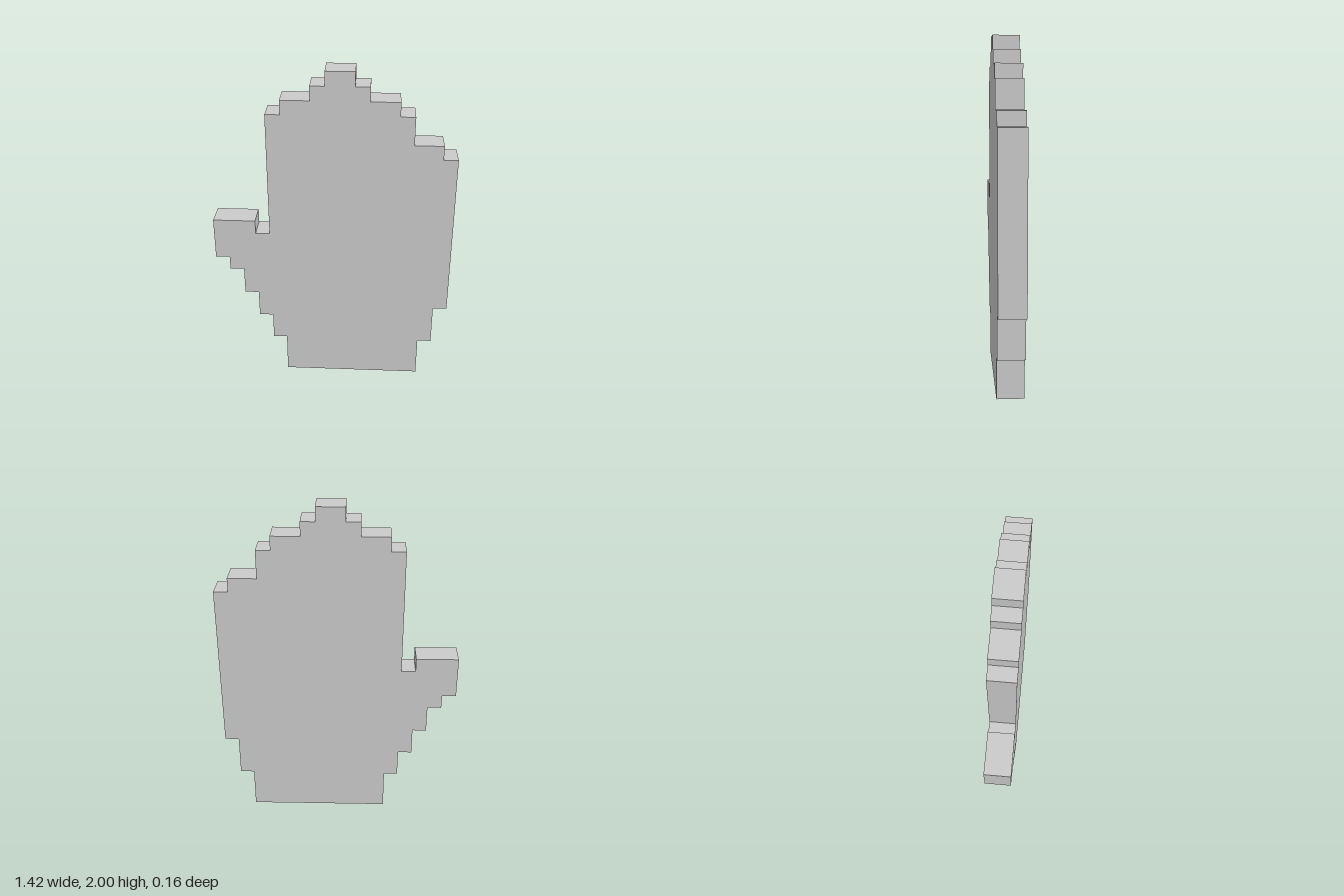
import * as THREE from 'three';

const CELL = 1 / 12; // the silhouette is 17 x 24 square cells
const DEPTH = 0.156;

// Stepped outline in cells, counter-clockwise from the cuff's lower corner
const OUTLINE = [
  [5, 0], [15, 0], [15, 3], [16, 3], [16, 6], [17, 6], // cuff and palm edge
  [17, 18], [16, 18], [16, 19], [14, 19], [14, 21], [13, 21], [13, 22],
  [11, 22], [11, 23], [10, 23], [10, 24], [8, 24], // rounded top
  [8, 23], [7, 23], [7, 22], [5, 22], [5, 21], [4, 21],
  [4, 12], [3, 12], [3, 13], [0, 13], [0, 10], // thumb
  [1, 10], [1, 9], [2, 9], [2, 7], [3, 7], [3, 5], [4, 5], [4, 3], [5, 3],
];

export function createModel() {
  const group = new THREE.Group();
  group.name = 'pixelMitten';

  // Flat slab extruded from the outline, centred in depth
  const shape = new THREE.Shape(
    OUTLINE.map(([x, y]) => new THREE.Vector2((x - 8.5) * CELL, y * CELL))
  );
  const geometry = new THREE.ExtrudeGeometry(shape, { depth: DEPTH, bevelEnabled: false });
  geometry.translate(0, 0, -DEPTH / 2);

  const mitten = new THREE.Mesh(
    geometry,
    new THREE.MeshStandardMaterial({ color: 0xcccccc, flatShading: true })
  );
  mitten.name = 'mitten';
  group.add(mitten);
  return group;
}
